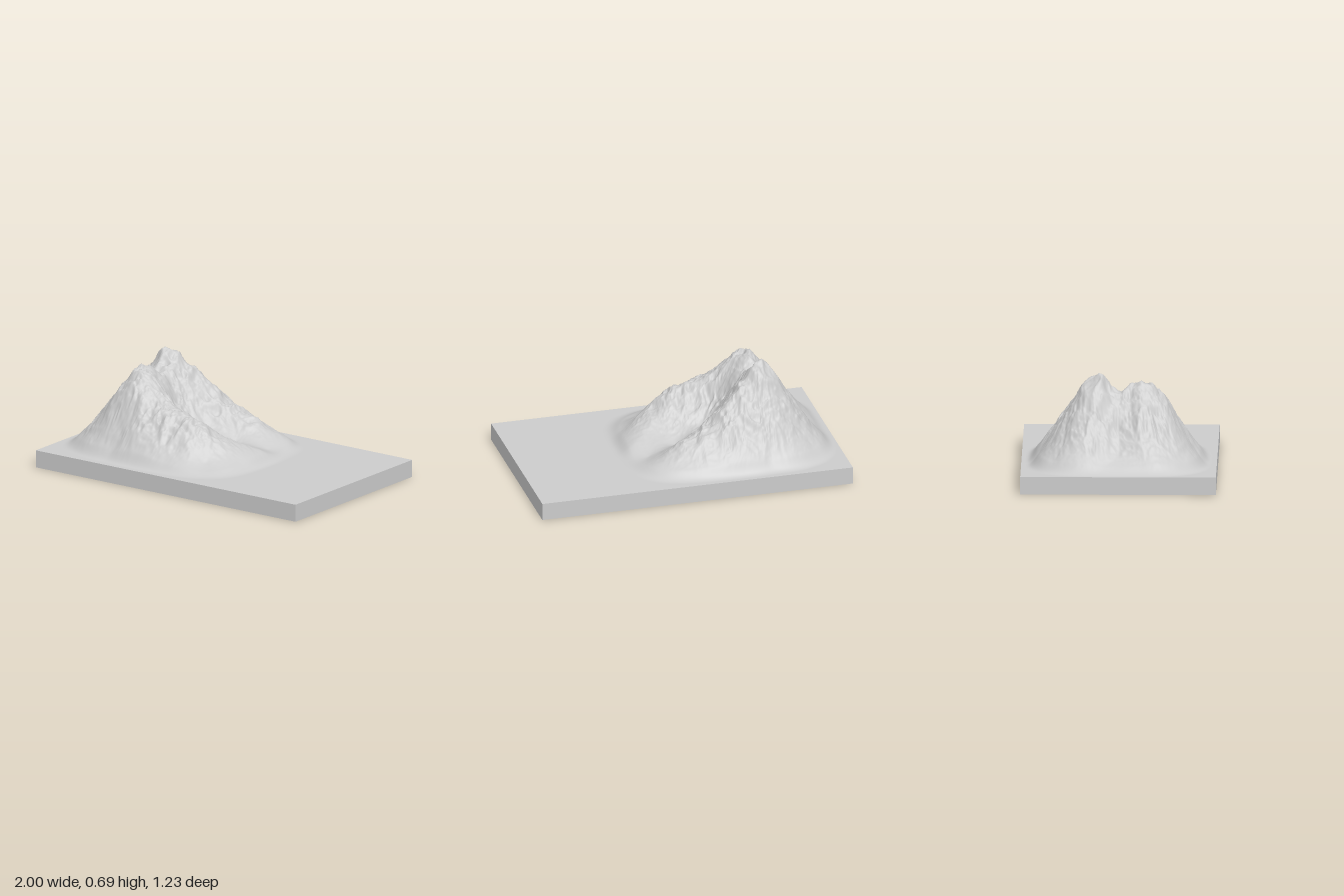
import * as THREE from 'three';

const SLAB = 0.11;                       // slab thickness
const CX = -0.31, HX = 0.69, HZ = 0.58;  // mountain footprint: centre and half sizes

// Key terrain points: x, z, height above the slab
const KEYS = [
  // summit crest, back to front
  -.5, -.5, .06, -.5, -.4, .21, -.5, -.3, .35, -.5, -.2, .52, -.54, -.12, .58, -.5, 0, .44,
  -.52, .07, .49, -.52, .15, .52, -.5, .28, .44, -.5, .4, .21, -.5, .5, .06,
  // outer side: two spurs with a gully between
  -.7, -.12, .35, -.8, -.12, .19, -.9, -.1, .06, -.7, -.01, .24, -.82, -.02, .12, -.7, .15, .32,
  -.8, .15, .18, -.9, .15, .06, -.8, -.4, .07, -.8, .4, .07,
  // back ridge
  -.35, -.2, .41, -.2, -.25, .29, 0, -.3, .18, .1, -.33, .11, .2, -.36, .055,
  // front ridge, curling round the valley mouth
  -.35, .28, .37, -.1, .28, .29, 0, .26, .24, .1, .2, .175, .19, .09, .12, .25, -.04, .07,
  // valley floor
  -.42, .01, .4, -.35, .02, .28, -.2, -.04, .13, 0, -.11, .055, .2, -.18, .03, .27, -.13, .03,
  // lower flanks
  -.1, .4, .14, -.1, .5, .05, .12, .36, .06, .27, .2, .045, 0, -.42, .1, 0, -.5, .045,
];

// Radius in the rounded-square footprint: 1 on its edge
const footprint = (x, z) =>
  Math.pow(Math.abs((x - CX) / HX) ** 3.6 + Math.abs(z / HZ) ** 3.6, 1 / 3.6);

const smooth = (a, b, v) => THREE.MathUtils.smoothstep(v, a, b);

// Smooth surface through scattered points (radial basis, solved by elimination)
function fitSurface(points) {
  const n = points.length, size = n + 1;
  const kernel = (dx, dz) => Math.pow(dx * dx + dz * dz, 0.7);
  const m = [];
  for (let i = 0; i < size; i++) {
    const row = [];
    for (let j = 0; j < size; j++) {
      if (i < n && j < n) row.push(kernel(points[i][0] - points[j][0], points[i][1] - points[j][1]));
      else row.push(i === n && j === n ? 0 : 1);
    }
    row.push(i < n ? points[i][2] : 0);
    m.push(row);
  }
  for (let c = 0; c < size; c++) {
    let p = c;
    for (let r = c + 1; r < size; r++) if (Math.abs(m[r][c]) > Math.abs(m[p][c])) p = r;
    [m[c], m[p]] = [m[p], m[c]];
    for (let r = 0; r < size; r++) {
      if (r === c) continue;
      const f = m[r][c] / m[c][c];
      for (let k = c; k <= size; k++) m[r][k] -= f * m[c][k];
    }
  }
  const w = m.map((row, i) => row[size] / row[i]);
  return (x, z) => {
    let h = w[n];
    for (let i = 0; i < n; i++) h += w[i] * kernel(x - points[i][0], z - points[i][1]);
    return h;
  };
}

// Seeded value noise in -1..1
function hash(i, j) {
  let h = Math.imul(i, 374761393) + Math.imul(j, 668265263) + 1013;
  h = Math.imul(h ^ (h >>> 13), 1274126177);
  return ((h ^ (h >>> 16)) >>> 0) / 2147483648 - 1;
}
function noise(x, y) {
  const i = Math.floor(x), j = Math.floor(y);
  const u = smooth(0, 1, x - i), v = smooth(0, 1, y - j);
  const a = hash(i, j) + (hash(i + 1, j) - hash(i, j)) * u;
  const b = hash(i, j + 1) + (hash(i + 1, j + 1) - hash(i, j + 1)) * u;
  return a + (b - a) * v;
}

// Rocky detail: gullies running away from the summit plus fine crags
function crags(x, z) {
  const dx = x + 0.5, dz = z - 0.02, r = Math.hypot(dx, dz);
  const wx = x + 0.03 * noise(x * 9, z * 9), wz = z + 0.03 * noise(x * 9 + 40, z * 9);
  // sample noise on stretched circles so gullies have no seam
  const k = 5.5 / (r + 0.1);
  const gully = noise(dx * k + 20 + r * 2, dz * k + 20);
  let sum = 0.014 * gully * smooth(0.08, 0.3, r), f = 12, a = 0.017;
  for (let o = 0; o < 4; o++) {
    sum += a * (1 - 2 * Math.abs(noise(wx * f + o * 17, wz * f + o * 31)));
    f *= 2;
    a *= 0.55;
  }
  return sum - 0.006;
}

function makeMountain(material) {
  const points = [];
  for (let i = 0; i < KEYS.length; i += 3) points.push(KEYS.slice(i, i + 3));
  // foot of the mountain at slab level
  for (let i = 0; i < 32; i++) {
    const t = (i / 32) * Math.PI * 2, c = Math.cos(t), s = Math.sin(t);
    const k = 1 / footprint(CX + c * HX, s * HZ);
    points.push([CX + c * HX * k, s * HZ * k, 0]);
  }
  const base = fitSurface(points);
  const height = (x, z) => {
    const s = footprint(x, z);
    if (s >= 1) return 0;
    const h = Math.max(0, base(x, z));
    return Math.max(0, h + crags(x, z) * smooth(0.01, 0.3, h)) * smooth(-0.02, 0.14, 1 - s);
  };

  const geometry = new THREE.PlaneGeometry(2 * HX, 2 * HZ, 230, 193);
  geometry.rotateX(-Math.PI / 2).translate(CX, 0, 0);
  const pos = geometry.attributes.position;
  for (let i = 0; i < pos.count; i++) pos.setY(i, height(pos.getX(i), pos.getZ(i)));
  // keep only the faces that rise from the slab
  const index = geometry.index.array, kept = [];
  for (let i = 0; i < index.length; i += 3) {
    const tri = [index[i], index[i + 1], index[i + 2]];
    if (tri.some((v) => pos.getY(v) > 0)) kept.push(...tri);
  }
  geometry.setIndex(kept);
  geometry.computeVertexNormals();
  const mesh = new THREE.Mesh(geometry, material);
  mesh.name = 'mountain';
  mesh.position.y = SLAB;
  return mesh;
}

function makeSlab(material) {
  const geometry = new THREE.BoxGeometry(2, SLAB, 1.215).translate(0, SLAB / 2, 0);
  // ends slightly out of square
  const pos = geometry.attributes.position;
  for (let i = 0; i < pos.count; i++) pos.setZ(i, pos.getZ(i) - 0.005 * pos.getX(i));
  const mesh = new THREE.Mesh(geometry, material);
  mesh.name = 'slab';
  return mesh;
}

export function createModel() {
  const group = new THREE.Group();
  group.name = 'mountainRelief';
  const material = new THREE.MeshStandardMaterial({ color: 0xcccccc });
  group.add(makeSlab(material), makeMountain(material));
  return group;
}
